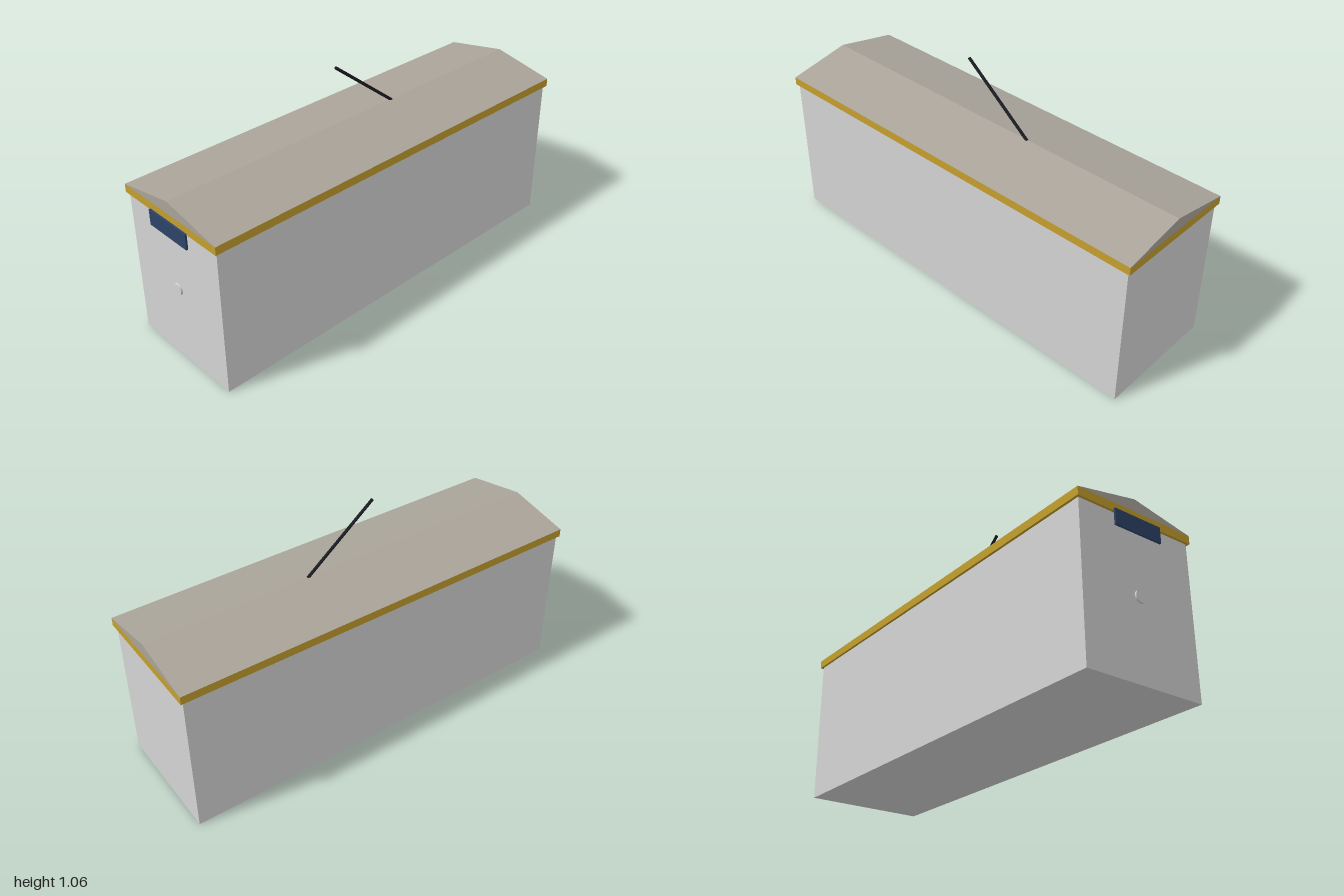
import * as THREE from 'three';

const mat = (name, color) => {
  const m = new THREE.MeshStandardMaterial({ color });
  m.name = name;
  return m;
};

export function createModel() {
  const model = new THREE.Group();
  model.name = 'railCar';
  const silver = mat('silver', 0xd4d4d4);
  const roofGrey = mat('roofGrey', 0xaaa49a);
  const gold = mat('gold', 0xc49f2e);
  const navy = mat('navy', 0x2d4368);
  const black = mat('black', 0x1c1c24);

  const add = (name, geometry, material, x, y, z) => {
    const mesh = new THREE.Mesh(geometry, material);
    mesh.name = name;
    mesh.position.set(x, y, z);
    model.add(mesh);
    return mesh;
  };

  const midZ = -0.005;

  // Plain box body with an overhanging trim band on top
  add('body', new THREE.BoxGeometry(0.576, 0.69, 1.966), silver, 0, 0.345, midZ + 0.001);
  add('trimBand', new THREE.BoxGeometry(0.598, 0.038, 1.99), gold, 0, 0.709, midZ);

  // Shallow gabled roof
  const gable = new THREE.Shape();
  gable.moveTo(-0.299, 0);
  gable.lineTo(0.299, 0);
  gable.lineTo(0, 0.058);
  gable.closePath();
  const roof = new THREE.ExtrudeGeometry(gable, { depth: 1.99, bevelEnabled: false });
  add('roof', roof, roofGrey, 0, 0.728, midZ - 0.995);

  // Destination board, hung in front of the band
  add('destinationBoard', new THREE.BoxGeometry(0.24, 0.072, 0.009), navy, 0, 0.661, 0.9955);

  // Round front lamp
  const lamp = new THREE.CylinderGeometry(0.027, 0.027, 0.014, 24);
  lamp.rotateX(Math.PI / 2);
  add('frontLamp', lamp, silver, 0, 0.361, 0.981);

  // Slanted pole leaning forward from the ridge
  const base = new THREE.Vector3(0, 0.782, -0.227);
  const tip = new THREE.Vector3(0, 1.052, 0.112);
  const dir = tip.clone().sub(base);
  const pole = add('trolleyPole', new THREE.CylinderGeometry(0.007, 0.007, dir.length(), 8), black, 0, 0, 0);
  pole.position.copy(base).add(tip).multiplyScalar(0.5);
  pole.quaternion.setFromUnitVectors(new THREE.Vector3(0, 1, 0), dir.normalize());

  return model;
}
